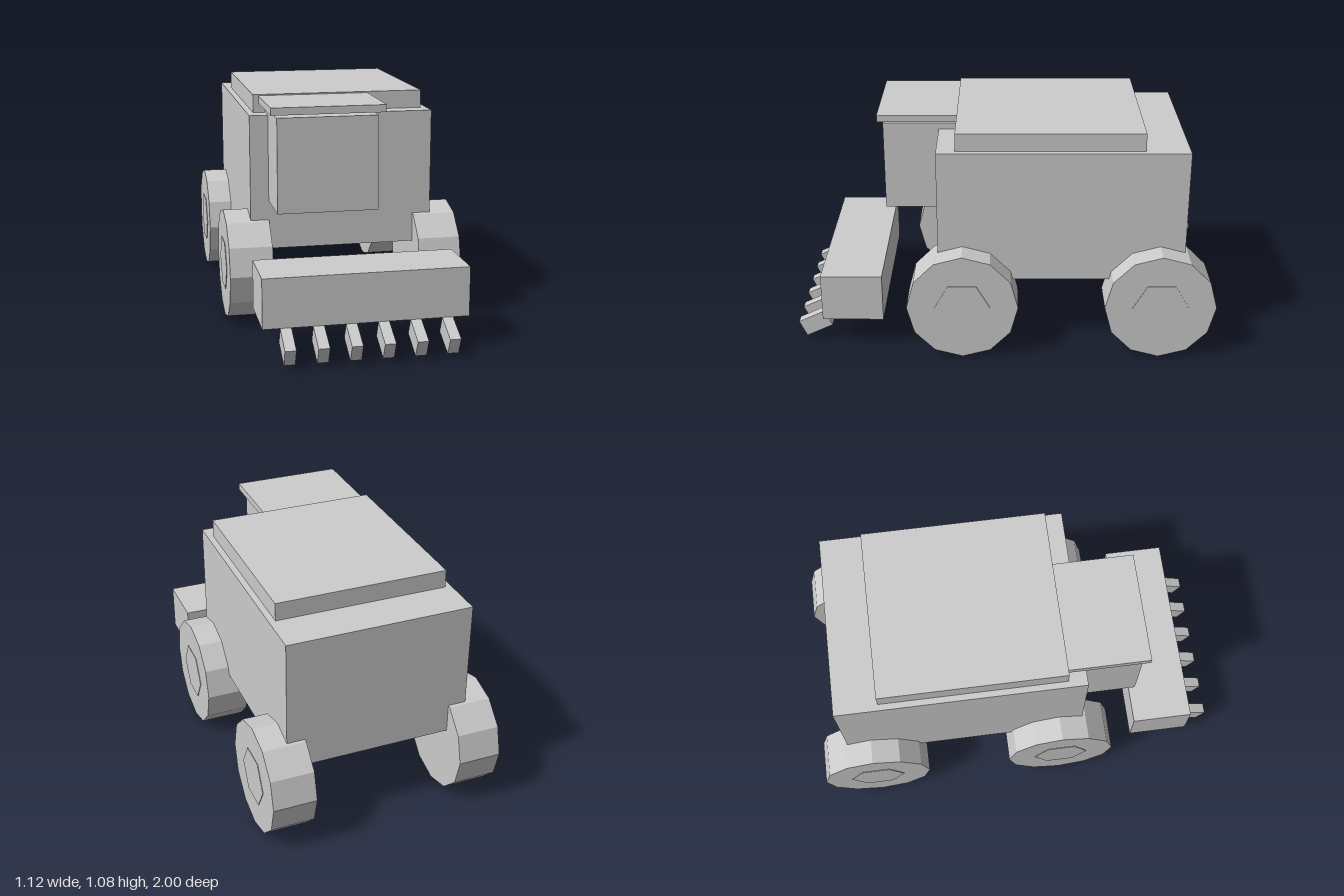
import * as THREE from 'three';

const paint = new THREE.MeshStandardMaterial({ color: 0xcccccc });
paint.name = 'plain grey';
paint.flatShading = true;

// Box given by its [min, max] range on each axis
function box(name, [x0, x1], [y0, y1], [z0, z1]) {
  const mesh = new THREE.Mesh(new THREE.BoxGeometry(x1 - x0, y1 - y0, z1 - z0), paint);
  mesh.name = name;
  mesh.position.set((x0 + x1) / 2, (y0 + y1) / 2, (z0 + z1) / 2);
  return mesh;
}

// Cylinder lying along x
function disc(name, radius, width, sides) {
  const geometry = new THREE.CylinderGeometry(radius, radius, width, sides).rotateZ(Math.PI / 2);
  const mesh = new THREE.Mesh(geometry, paint);
  mesh.name = name;
  return mesh;
}

// Twelve-sided tyre with a slim hexagonal hub on its outer face
function wheel(name, side, z) {
  const group = new THREE.Group();
  group.name = name;
  const hub = disc('hub', 0.132, 0.08, 6);
  hub.position.x = side * 0.065;
  group.add(disc('tyre', 0.263, 0.204, 12), hub);
  group.position.set(side * 0.453, 0.263, z);
  return group;
}

export function createModel() {
  const model = new THREE.Group();
  model.name = 'harvester';

  // Main body and the raised tank cover
  model.add(box('body', [-0.437, 0.437], [0.355, 0.995], [-0.856, 0.311]));
  model.add(box('tankCover', [-0.407, 0.407], [0.99, 1.08], [-0.651, 0.223]));

  // Cab, offset to the right, with its overhanging roof
  model.add(box('cab', [-0.35, 0.115], [0.587, 1.024], [0.115, 0.579]));
  model.add(box('cabRoof', [-0.381, 0.144], [1.04, 1.074], [0.09, 0.604]));

  // Cutting header with a row of tilted teeth
  model.add(box('header', [-0.467, 0.467], [0.151, 0.38], [0.578, 0.869]));
  for (let i = 0; i < 6; i++) {
    const x = (i - 2.5) * 0.146;
    const tooth = box('tooth', [x - 0.025, x + 0.025], [0.0425, 0.1275], [0.8485, 0.9885]);
    tooth.rotation.x = 0.436;
    model.add(tooth);
  }

  // Wheels
  for (const side of [-1, 1]) {
    const label = side > 0 ? 'Left' : 'Right';
    model.add(wheel('front' + label + 'Wheel', side, 0.195));
    model.add(wheel('rear' + label + 'Wheel', side, -0.738));
  }
  return model;
}
